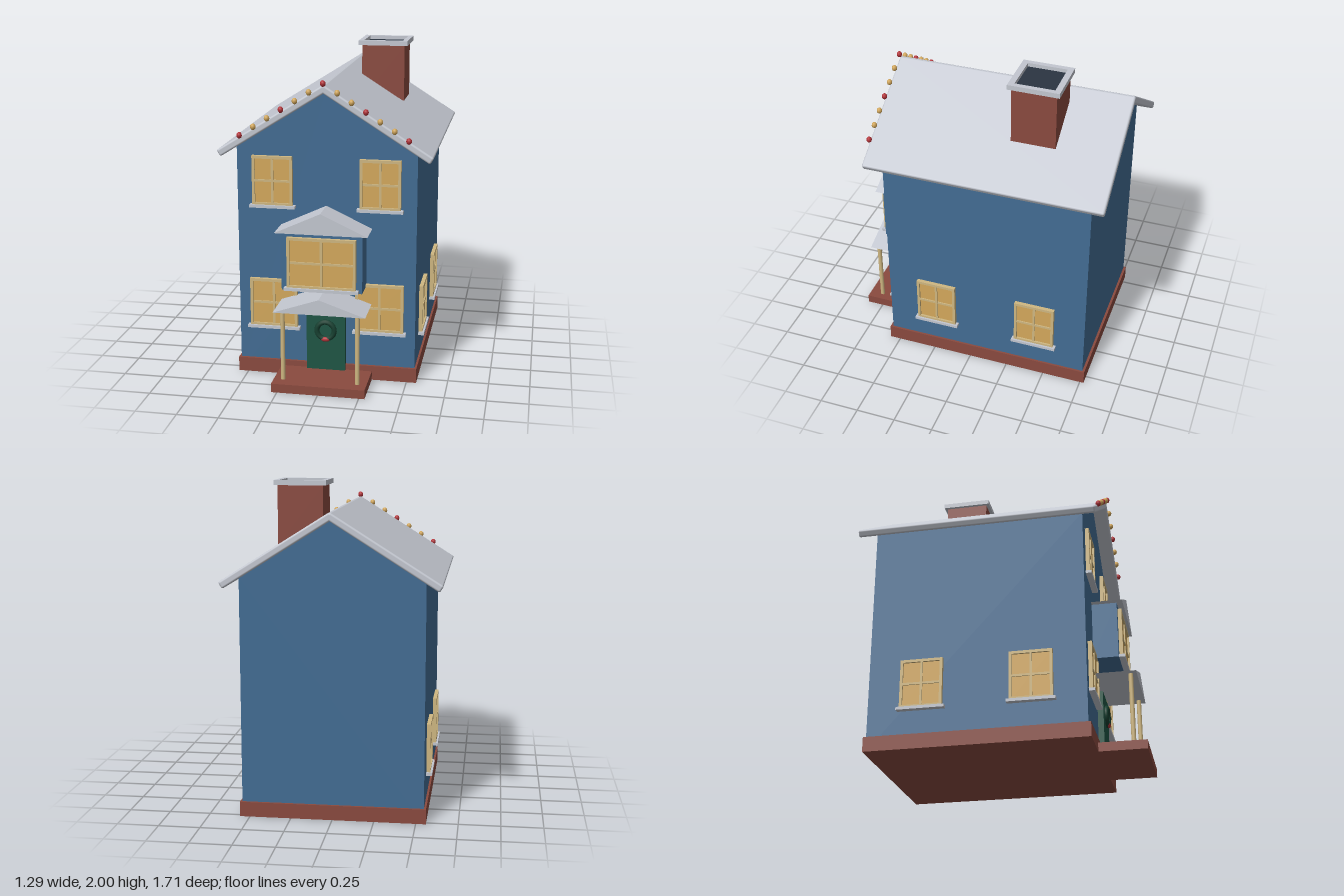
import * as THREE from 'three';
import { RoundedBoxGeometry } from 'three/addons/geometries/RoundedBoxGeometry.js';

const mat = (name, color) => {
  const m = new THREE.MeshStandardMaterial({ color });
  m.name = name;
  return m;
};

export function createModel() {
  const house = new THREE.Group();
  house.name = 'house';

  const wall = mat('blue wall', 0x426c93);
  const brick = mat('red brick', 0x8a4a3f);
  const roofGrey = mat('pale grey roof', 0xc3c7d0);
  const glow = mat('warm glass', 0xd3a85c);
  const cream = mat('cream trim', 0xcfb781);
  const green = mat('door green', 0x1f5544);
  const wreathGreen = mat('wreath green', 0x163f30);
  const red = mat('red', 0xb5343a);
  const dark = mat('dark flue', 0x2b3542);

  const add = (parent, name, geometry, material, x = 0, y = 0, z = 0) => {
    const mesh = new THREE.Mesh(geometry, material);
    mesh.name = name;
    mesh.position.set(x, y, z);
    parent.add(mesh);
    return mesh;
  };
  // Box given by its limits on each axis
  const box = (parent, name, material, x0, x1, y0, y1, z0, z1) =>
    add(parent, name, new THREE.BoxGeometry(x1 - x0, y1 - y0, z1 - z0), material,
      (x0 + x1) / 2, (y0 + y1) / 2, (z0 + z1) / 2);
  // Outline in x and y, pushed along z
  const prism = (name, material, points, z0, z1) => {
    const shape = new THREE.Shape(points.map(([x, y]) => new THREE.Vector2(x, y)));
    const geometry = new THREE.ExtrudeGeometry(shape, { depth: z1 - z0, bevelEnabled: false });
    return add(house, name, geometry, material, 0, 0, z0);
  };

  // Base and walls
  box(house, 'foundation', brick, -0.56, 0.56, 0, 0.09, -0.775, 0.567);
  box(house, 'frontStep', brick, -0.285, 0.285, 0, 0.055, 0.56, 0.855);
  prism('walls', wall,
    [[-0.547, 0.005], [0.547, 0.005], [0.547, 1.452], [0, 1.795], [-0.547, 1.452]], -0.76, 0.55);

  // Two sloping roof slabs
  for (const s of [-1, 1]) {
    const slab = add(house, s > 0 ? 'roofLeft' : 'roofRight',
      new RoundedBoxGeometry(0.768, 0.045, 1.495, 3, 0.012), roofGrey, s * 0.313, 1.617, -0.1075);
    slab.rotation.z = -s * 0.562;
  }

  // Chimney with an open cap
  const chimney = new THREE.Group();
  chimney.name = 'chimney';
  chimney.position.set(0.228, 0, -0.343);
  house.add(chimney);
  box(chimney, 'chimneyStack', brick, -0.137, 0.137, 1.615, 1.97, -0.137, 0.137);
  box(chimney, 'flue', dark, -0.127, 0.127, 1.969, 1.977, -0.122, 0.122);
  const square = (a, b) => [[-a, -b], [a, -b], [a, b], [-a, b]].map(([x, y]) => new THREE.Vector2(x, y));
  const capShape = new THREE.Shape(square(0.157, 0.157));
  capShape.holes.push(new THREE.Path(square(0.125, 0.121)));
  const cap = add(chimney, 'chimneyCap',
    new THREE.ExtrudeGeometry(capShape, { depth: 0.03, bevelEnabled: false }), roofGrey, 0, 1.97, 0);
  cap.rotation.x = -Math.PI / 2;

  // Window with frame, glazing bars and sill; its back lies on local z = 0
  const addWindow = (name, w, h, x, y, z, turn = 0) => {
    const g = new THREE.Group();
    g.name = name;
    g.position.set(x, y, z);
    g.rotation.y = turn;
    house.add(g);
    const a = w / 2, b = h / 2, t = 0.017;
    box(g, 'glass', glow, -a + 0.005, a - 0.005, -b, b - 0.005, 0, 0.012);
    for (const s of [-1, 1]) {
      const u = s * (a - t / 2), v = s * (b - t / 2);
      box(g, 'frameSide', cream, u - t / 2, u + t / 2, -b, b, 0, 0.024);
      box(g, 'frameRail', cream, -a + t, a - t, v - t / 2, v + t / 2, 0, 0.024);
    }
    box(g, 'barUpright', cream, -0.007, 0.007, -b + t, b - t, 0, 0.02);
    box(g, 'barAcross', cream, -a + t, a - t, -0.007, 0.007, 0, 0.019);
    box(g, 'sill', roofGrey, -a - 0.016, a + 0.016, -b - 0.014, -b + 0.004, 0, 0.036);
  };

  for (const s of [-1, 1]) {
    addWindow('upperWindow', 0.248, 0.305, s * 0.328, 1.24, 0.55);
    addWindow('lowerWindow', 0.296, 0.305, s * 0.328, 0.467, 0.55);
    for (const z of [0.225, -0.433])
      addWindow('sideWindow', 0.258, 0.302, s * 0.547, 0.401, z, s * Math.PI / 2);
  }

  // Bay with its own small roof
  box(house, 'bay', wall, -0.245, 0.245, 0.605, 0.965, 0.54, 0.705);
  addWindow('bayWindow', 0.418, 0.315, 0, 0.782, 0.705);
  prism('bayRoof', roofGrey, [[-0.28, 0.967], [0.28, 0.967], [0, 1.097]], 0.54, 0.742);

  // Porch canopy on two posts
  prism('porchCanopy', roofGrey, [[-0.28, 0.492], [0.28, 0.492], [0, 0.588]], 0.54, 0.807);
  for (const s of [-1, 1])
    add(house, 'porchPost', new THREE.CylinderGeometry(0.014, 0.014, 0.44, 12), cream, s * 0.228, 0.274, 0.77);

  // Door, wreath and bow
  box(house, 'door', green, -0.12, 0.12, 0.05, 0.44, 0.54, 0.585);
  add(house, 'wreath', new THREE.TorusGeometry(0.054, 0.016, 10, 28), wreathGreen, 0, 0.315, 0.592);
  const bow = add(house, 'bow', new THREE.SphereGeometry(0.03, 10, 8), red, 0, 0.26, 0.6);
  bow.scale.set(1, 0.5, 0.4);

  // String of lights along the front gable, every third one red
  for (let i = -6; i <= 6; i++) {
    const bulb = add(house, 'lightBulb', new THREE.SphereGeometry(0.017, 8, 6),
      i % 3 === 0 ? red : glow, i * 0.084, 1.85 - Math.abs(i) * 0.0535, 0.645);
    bulb.scale.y = 1.15;
  }

  return house;
}
